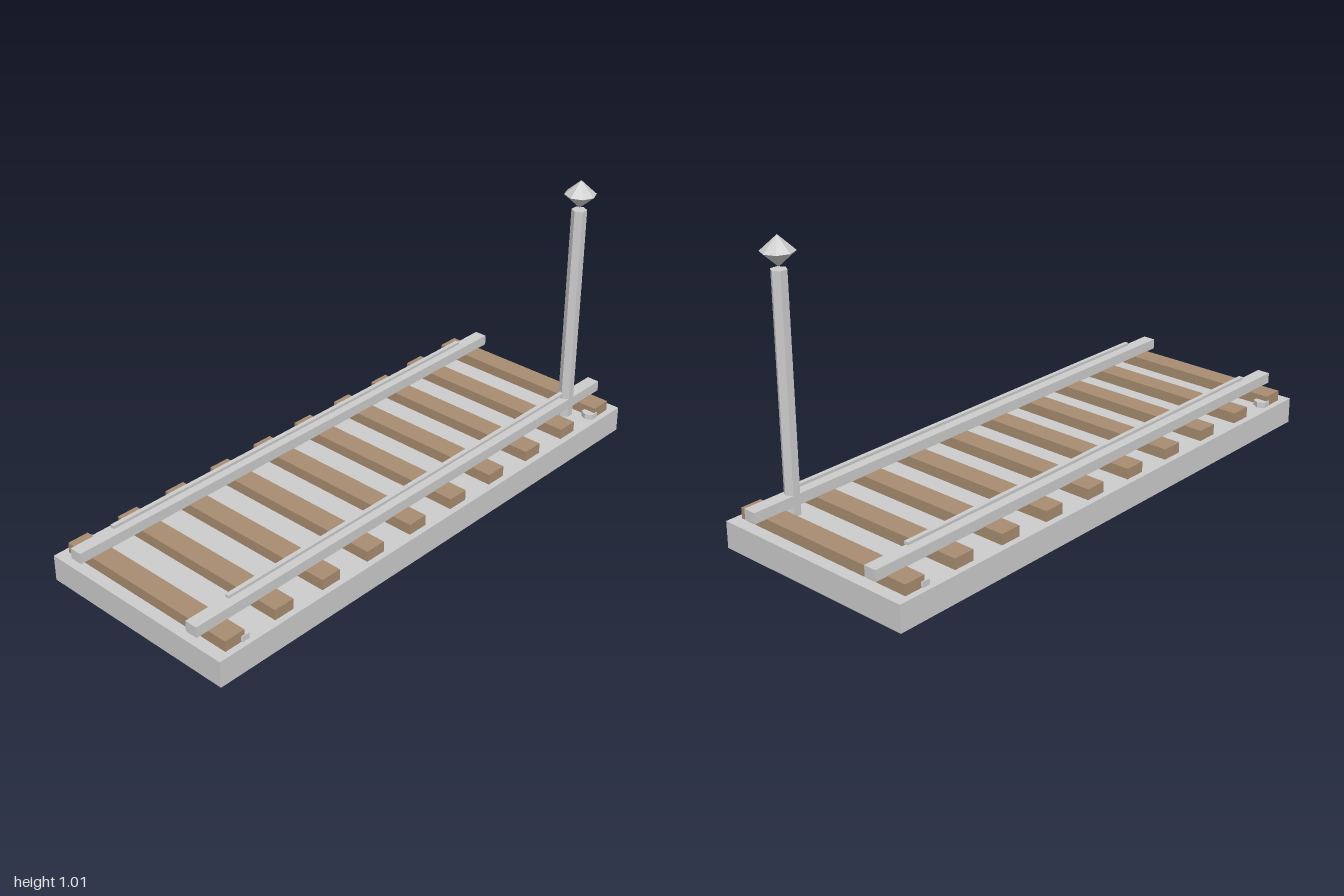
import * as THREE from 'three';

export function createModel() {
  const model = new THREE.Group();
  const grey = new THREE.MeshStandardMaterial({ color: 0xcccccc, flatShading: true });
  const wood = new THREE.MeshStandardMaterial({ color: 0xa88c70, flatShading: true });

  function add(name, geometry, material, x, y, z) {
    const mesh = new THREE.Mesh(geometry, material);
    mesh.name = name;
    mesh.position.set(x, y, z);
    model.add(mesh);
    return mesh;
  }

  // Hexagonal prism with corners pointing along x
  const hexPrism = (radius, height) =>
    new THREE.CylinderGeometry(radius, radius, height, 6).rotateY(Math.PI / 6);

  // Ballast slab
  add('trackBed', new THREE.BoxGeometry(2, 0.094, 0.776), grey, 0, 0.047, 0);

  // Wooden sleepers
  const sleeper = new THREE.BoxGeometry(0.078, 0.038, 0.73);
  for (let i = 0; i < 10; i++) {
    add('sleeper', sleeper, wood, -0.917 + i * 0.2038, 0.113, 0);
  }

  const rail = new THREE.BoxGeometry(2, 0.038, 0.047);
  const strip = new THREE.BoxGeometry(1.706, 0.01, 0.016);
  const bolt = hexPrism(0.028, 0.02);
  for (const side of [-1, 1]) {
    // Rail with the thin strip floating above it
    add('rail', rail, grey, 0, 0.15, side * 0.268);
    add('railStrip', strip, grey, 0, 0.188, side * 0.266);
    // Bolts beside the end sleepers
    for (const end of [-1, 1]) {
      add('bolt', bolt, grey, end * 0.876, 0.104, side * 0.345);
    }
  }

  // Signal post and its faceted lamp
  add('signalPost', hexPrism(0.027, 0.81), grey, 0.83, 0.5, 0.268);
  const lamp = add('signalLamp', new THREE.SphereGeometry(0.056, 8, 2), grey, 0.83, 0.962, 0.268);
  lamp.scale.y = 0.9;

  return model;
}
